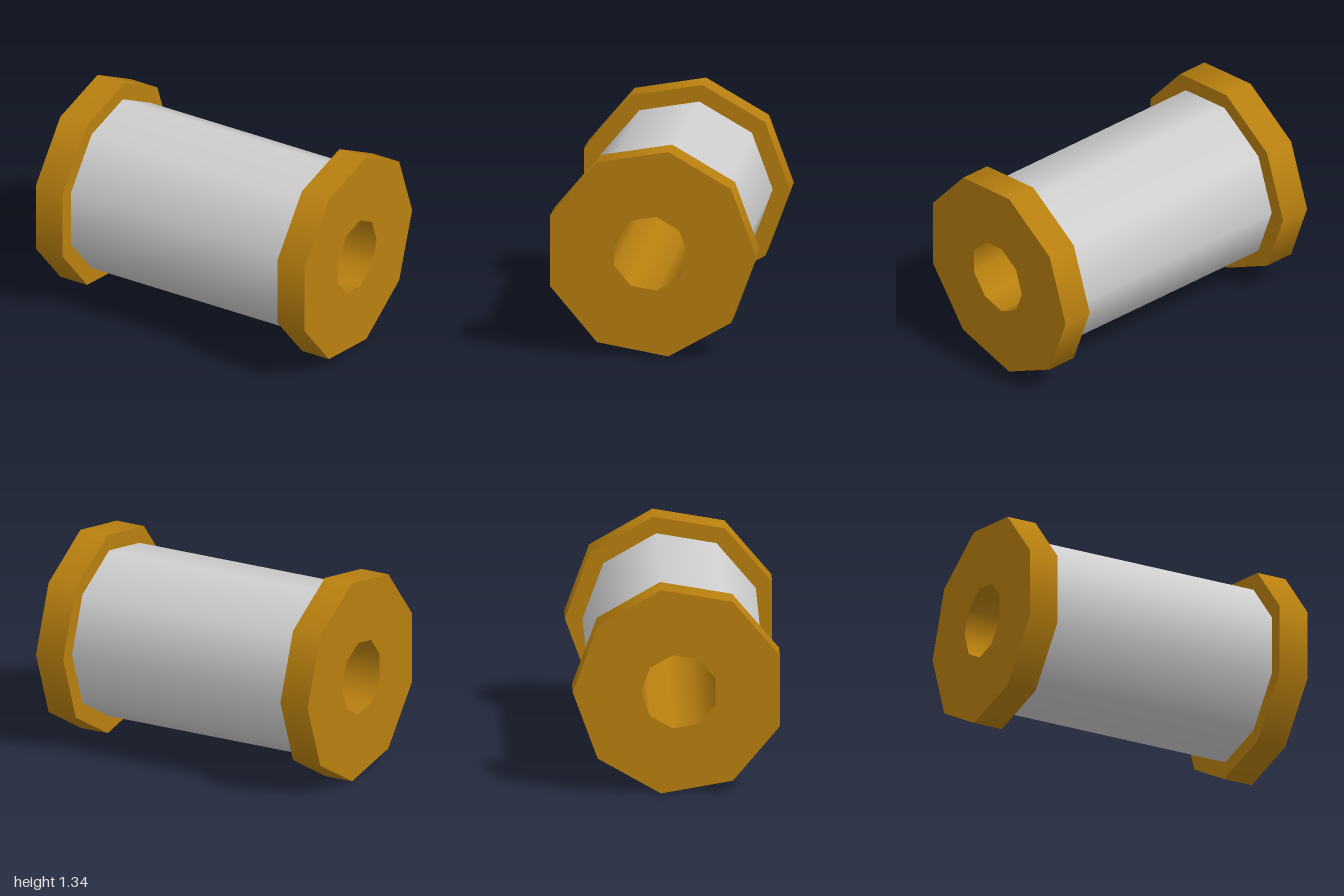
import * as THREE from 'three';
import { mergeGeometries } from 'three/addons/utils/BufferGeometryUtils.js';

const SIDES = 9;
const BORE = 0.245, THREAD = 0.569, RIM = 0.68;
const INNER = 0.8, END = 1;

// Revolves a profile of [radius, x] points around the x axis, sharp at each
// profile corner and smooth around the axis.
function revolve(profile) {
  const strips = [];
  for (let i = 0; i < profile.length - 1; i++) {
    const pts = [profile[i], profile[i + 1]].map(([r, x]) => new THREE.Vector2(r, x));
    strips.push(new THREE.LatheGeometry(pts, SIDES, Math.PI));
  }
  return mergeGeometries(strips).rotateZ(-Math.PI / 2);
}

export function createModel() {
  const spool = new THREE.Group();
  spool.name = 'spool';

  const gold = new THREE.MeshStandardMaterial({ color: 0xb9800f });
  gold.name = 'golden wood';
  const grey = new THREE.MeshStandardMaterial({ color: 0xcfcfcf });
  grey.name = 'light grey thread';

  const add = (name, profile, material) => {
    const mesh = new THREE.Mesh(revolve(profile), material);
    mesh.name = name;
    spool.add(mesh);
  };

  // End flanges: inner face, rim and outer face
  add('leftFlange', [[THREAD - 0.01, INNER], [RIM, INNER], [RIM, END], [BORE, END]], gold);
  add('rightFlange', [[BORE, -END], [RIM, -END], [RIM, -INNER], [THREAD - 0.01, -INNER]], gold);

  // Hole running through the whole spool
  add('bore', [[BORE, END], [BORE, -END]], gold);

  // Wound thread between the flanges
  add('thread', [[THREAD, -INNER], [THREAD, INNER]], grey);

  // Stand the spool on the ground and centre its uneven polygon in z
  spool.children.forEach((m) => m.position.set(0, RIM * Math.cos(Math.PI / 18), 0.02));
  return spool;
}
